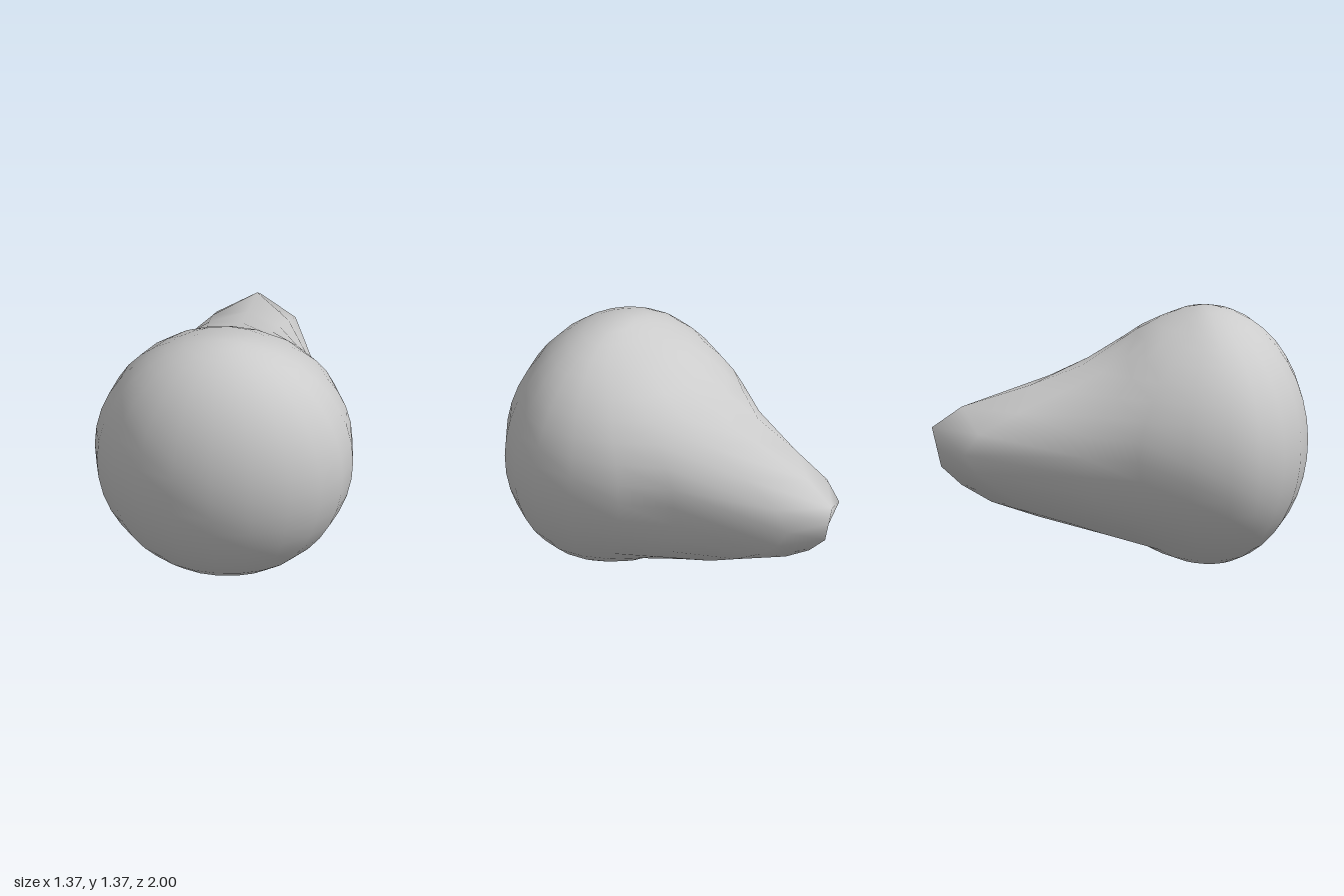
import * as THREE from 'three';
import { mergeVertices } from 'three/addons/utils/BufferGeometryUtils.js';

const R = 0.685;   // bulb radius, also its centre height
const MID_Z = 0.47; // widest section
const FRONT_DEPTH = 0.53;

// Depth (z) of the back surface from the tip outwards, at 9 degree steps
const BACK = {
  top: [-0.975, -1, -0.84, -0.47, -0.2, 0, 0.1, 0.2, 0.32, 0.4, 0.47],
  side: [-0.975, -0.95, -0.87, -0.55, -0.25, -0.12, 0, 0.13, 0.25, 0.36, 0.47],
  bottom: [-0.975, -0.95, -0.84, -0.68, -0.43, -0.17, 0.1, 0.2, 0.3, 0.39, 0.47],
};

function sample(table, t) {
  const i = Math.min(Math.floor(t), table.length - 2);
  return THREE.MathUtils.lerp(table[i], table[i + 1], t - i);
}

// Squash the front half and draw the back half out into a tapering stalk
function depthAt(x, y, z) {
  if (z > 1e-5) return MID_Z + FRONT_DEPTH * z / R;
  const r = Math.hypot(x, y);
  const t = Math.asin(Math.min(r / R, 1)) / (Math.PI / 20);
  const vertical = r > 1e-5 ? (y / r) ** 2 : 0;
  const edge = y >= 0 ? BACK.top : BACK.bottom;
  return THREE.MathUtils.lerp(sample(BACK.side, t), sample(edge, t), vertical);
}

export function createModel() {
  const group = new THREE.Group();
  group.name = 'bulbWithStalk';

  let geometry = new THREE.SphereGeometry(R, 20, 20);
  const pos = geometry.attributes.position;
  for (let i = 0; i < pos.count; i++) {
    const x = pos.getX(i), y = pos.getY(i), z = pos.getZ(i);
    pos.setXYZ(i, x, y + R, depthAt(x, y, z));
  }

  // Weld the seam so the shading is smooth all round
  geometry.deleteAttribute('uv');
  geometry.deleteAttribute('normal');
  geometry = mergeVertices(geometry, 1e-4);
  geometry.computeVertexNormals();

  const body = new THREE.Mesh(geometry, new THREE.MeshStandardMaterial({ color: 0xcccccc }));
  body.name = 'bulbAndStalk';
  group.add(body);
  return group;
}
